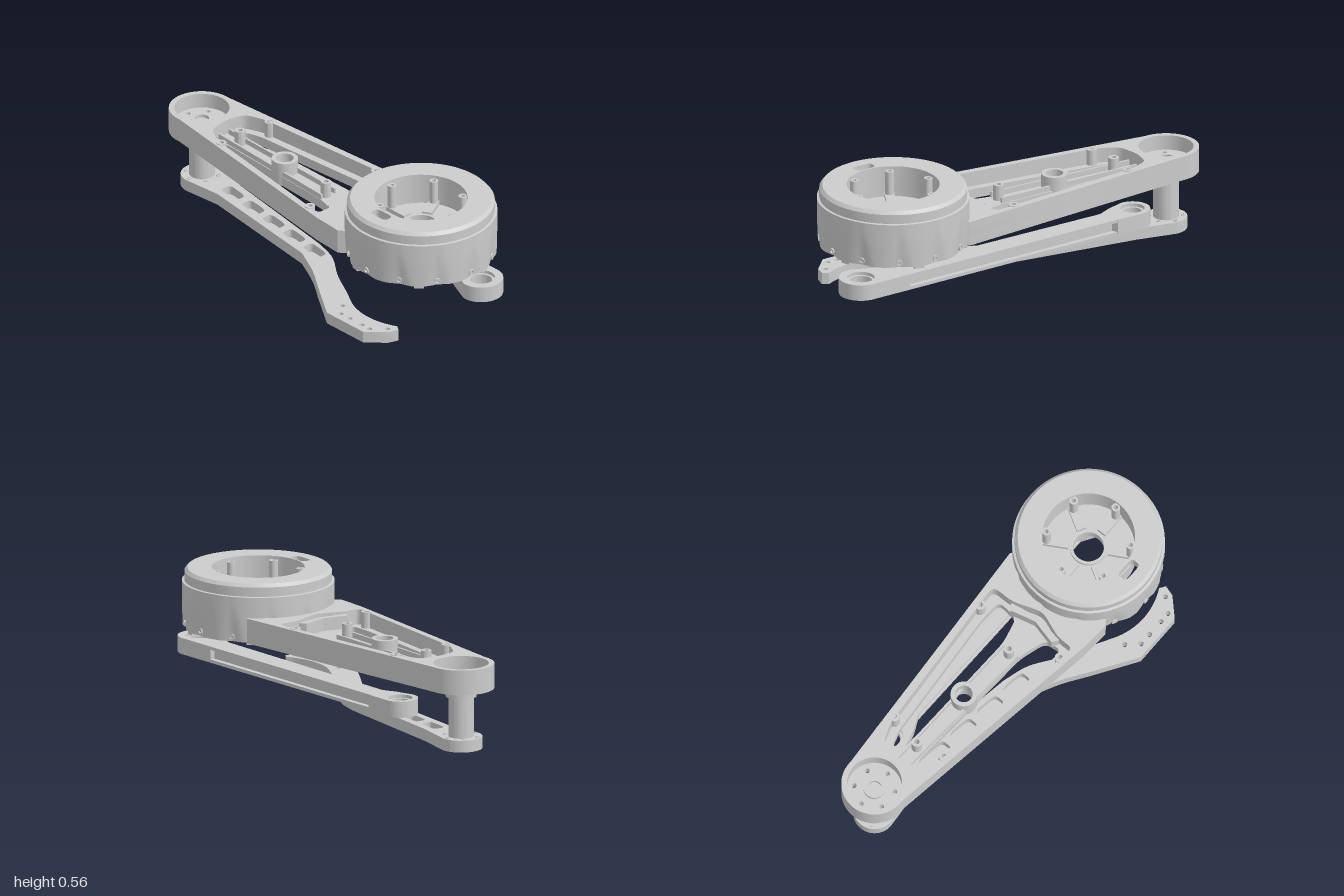
import * as THREE from 'three';
import { toCreasedNormals } from 'three/addons/utils/BufferGeometryUtils.js';

const grey = new THREE.MeshStandardMaterial({ color: 0xcccccc, side: THREE.DoubleSide });
const TAU = Math.PI * 2;
const HUB = [0.045, 0.635], TIP = [0.07, -0.85];

function add(parent, name, geometry, x = 0, y = 0, z = 0) {
  const mesh = new THREE.Mesh(geometry, grey);
  mesh.name = name;
  mesh.position.set(x, y, z);
  parent.add(mesh);
  return mesh;
}

// Plan outlines are lists of [x, z]
const plan = (pts) => pts.map(([x, z]) => new THREE.Vector2(x, -z));
const arc = ([cx, cz], r, from, to, n = 32) => Array.from({ length: n + 1 }, (_, i) => {
  const a = (from + (to - from) * i / n) * Math.PI / 180;
  return [cx + r * Math.cos(a), cz + r * Math.sin(a)];
});
const circle = (c, r, n = 32) => arc(c, r, 0, 360, n).slice(0, n);
const smooth = (pts, n = 16) => new THREE.CatmullRomCurve3(pts.map(([x, z]) => new THREE.Vector3(x, 0, z)))
  .getPoints(n).map((p) => [p.x, p.z]);
// Rounded closed loop through the corners of a window
const rounded = (pts, k = 0.3) => pts.flatMap((p, i) => {
  const q = pts[(i + pts.length - 1) % pts.length], s = pts[(i + 1) % pts.length];
  const toward = (o) => {
    const t = Math.min(k, 0.035 / Math.hypot(o[0] - p[0], o[1] - p[1]));
    return new THREE.Vector2(p[0] + (o[0] - p[0]) * t, p[1] + (o[1] - p[1]) * t);
  };
  return new THREE.QuadraticBezierCurve(toward(q), new THREE.Vector2(...p), toward(s)).getPoints(5).map((v) => [v.x, v.y]);
});

// Flat plate from y0 to y1 with windows
function plate(outline, holes, y0, y1) {
  const shape = new THREE.Shape(plan(outline));
  shape.holes = holes.map((h) => new THREE.Path(plan(h)));
  const g = new THREE.ExtrudeGeometry(shape, { depth: y1 - y0, bevelEnabled: false });
  g.rotateX(-Math.PI / 2).translate(0, y0, 0);
  return toCreasedNormals(g, 0.6);
}

function lathe(pts, n = 72) {
  return toCreasedNormals(new THREE.LatheGeometry(pts.map((p) => new THREE.Vector2(...p)), n), 0.5);
}

// Hollow boss standing from y0 to y1
const tube = (r, bore, y0, y1, n = 24) => lathe([[bore, y0], [r, y0], [r, y1], [bore, y1], [bore, y0]], n);

function motorHousing() {
  const g = new THREE.Group();
  g.name = 'motorHousing';
  // Outer skirt, dented round each of twelve side screws
  const skirt = new THREE.LatheGeometry(
    [[0.322, 0.5], [0.322, 0.29], [0.342, 0.29], [0.343, 0.33], [0.344, 0.37], [0.345, 0.41], [0.345, 0.45], [0.345, 0.5], [0.322, 0.5]]
      .map((p) => new THREE.Vector2(...p)), 144);
  const pos = skirt.attributes.position;
  for (let i = 0; i < pos.count; i++) {
    const x = pos.getX(i), y = pos.getY(i), z = pos.getZ(i), r = Math.hypot(x, z);
    if (r < 0.33) continue;
    const a = Math.atan2(x, z) / (TAU / 12);
    const off = Math.abs(a - Math.round(a)) * 30;
    const fade = THREE.MathUtils.clamp((0.47 - y) / 0.18, 0, 1);
    const k = 1 - 0.013 * fade * Math.max(0, 1 - off / (3 + 7 * fade)) / r;
    pos.setX(i, x * k);
    pos.setZ(i, z * k);
  }
  add(g, 'skirt', toCreasedNormals(skirt, 0.5), HUB[0], 0, HUB[1]);

  // Chamfered cap with a round well and a cable slot
  add(g, 'capRim', lathe([[0.318, 0.5], [0.345, 0.5], [0.334, 0.502], [0.334, 0.545], [0.32, 0.56], [0.318, 0.56]], 96), HUB[0], 0, HUB[1]);
  const slot = rounded([[-0.22, 0.58], [-0.17, 0.58], [-0.17, 0.68], [-0.22, 0.68]]);
  add(g, 'capTop', plate(circle(HUB, 0.32, 96), [circle(HUB, 0.21, 72), slot], 0.5, 0.56));
  add(g, 'wellWall', tube(0.222, 0.21, 0.39, 0.505, 72), HUB[0], 0, HUB[1]);

  // Well floor with central bore, spokes and bosses
  const screwHoles = [];
  for (let i = 0; i < 6; i++) {
    const a = (i + 0.5) * TAU / 6;
    screwHoles.push(circle([HUB[0] + 0.1 * Math.cos(a), HUB[1] + 0.1 * Math.sin(a)], 0.008, 10));
  }
  add(g, 'wellFloor', plate(circle(HUB, 0.215, 72), [circle(HUB, 0.07, 40), ...screwHoles], 0.39, 0.415));
  add(g, 'boreRing', tube(0.084, 0.07, 0.38, 0.43, 40), HUB[0], 0, HUB[1]);
  for (let i = 0; i < 6; i++) {
    const a = i * TAU / 6, s = Math.sin(a), c = Math.cos(a);
    const spoke = add(g, 'wellSpoke', new THREE.BoxGeometry(0.045, 0.02, 0.12), HUB[0] + 0.15 * s, 0.425, HUB[1] + 0.15 * c);
    spoke.rotation.y = a;
    add(g, 'wellBoss', tube(0.02, 0.01, 0.41, 0.545, 16), HUB[0] + 0.193 * s, 0, HUB[1] + 0.193 * c);
  }

  // Side screw sockets and the small feet under the skirt
  for (let i = 0; i < 12; i++) {
    const a = i * TAU / 12;
    if (Math.cos(a) > -0.6) {
      const socket = add(g, 'sideScrewSocket', tube(0.015, 0.008, -0.012, 0.012, 14),
        HUB[0] + 0.328 * Math.sin(a), 0.31, HUB[1] + 0.328 * Math.cos(a));
      socket.rotation.set(Math.PI / 2, 0, -a, 'YXZ');
      socket.rotation.set(Math.PI / 2, a, 0, 'YXZ');
    }
    if (i % 2) {
      const b = a + 0.25 - 0.5;
      const foot = add(g, 'foot', new THREE.BoxGeometry(0.045, 0.02, 0.02), HUB[0] + 0.33 * Math.sin(b), 0.289, HUB[1] + 0.33 * Math.cos(b));
      foot.rotation.y = b;
    }
  }
  return g;
}

function upperArm() {
  const g = new THREE.Group();
  g.name = 'upperArm';
  const outline = [
    ...arc(TIP, 0.15, 176, 364, 40), [0.265, -0.18], [0.305, 0.39],
    ...arc(HUB, 0.338, -42, -143, 32), [-0.25, 0.4], [-0.24, 0.25]];
  // Tall perimeter wall around an open bay, with a round cup at the tip
  const bay = rounded([[-0.035, -0.67], [0.07, -0.69], [0.165, -0.67], [0.2, -0.58], [0.262, 0.22], [0.15, 0.22],
    [0.01, 0.27], [-0.12, 0.22], [-0.205, 0.22], [-0.085, -0.58]]);
  add(g, 'perimeterWall', plate(outline, [bay, circle(TIP, 0.125, 48)], 0.335, 0.405));
  // Lower web with two long windows and the tip floor
  const left = rounded([[-0.04, -0.64], [0.005, -0.62], [-0.03, 0.06], [-0.07, 0.19], [-0.155, 0.2], [-0.15, 0.08], [-0.055, -0.56]]);
  const right = rounded([[0.14, -0.64], [0.09, -0.62], [0.07, 0.06], [0.1, 0.19], [0.21, 0.2], [0.215, 0.08], [0.165, -0.56]]);
  const tipHoles = Array.from({ length: 6 }, (_, i) => {
    const a = (i + 0.5) * TAU / 6;
    return circle([TIP[0] + 0.093 * Math.cos(a), TIP[1] + 0.093 * Math.sin(a)], 0.011, 12);
  });
  add(g, 'lowerWeb', plate(outline, [left, right, circle([0.035, -0.26], 0.04), ...tipHoles], 0.29, 0.335));
  add(g, 'tipRing', tube(0.05, 0.032, 0.33, 0.35, 32), TIP[0], 0, TIP[1]);
  add(g, 'centreRing', tube(0.06, 0.04, 0.29, 0.4, 32), 0.035, 0, -0.26);
  // Thin raised walls along the centre rib
  for (const s of [-1, 1]) {
    add(g, 'ribWall', plate([[0.05 + s * 0.036, -0.68], [0.05 + s * 0.026, -0.68], [0.018 + s * 0.036, 0.05], [0.018 + s * 0.046, 0.05]], [], 0.33, 0.36));
    add(g, 'chevronWall', plate([[0.01, 0.24], [0.01, 0.215], [0.01 + s * 0.12, 0.185], [0.01 + s * 0.14, 0.215]], [], 0.33, 0.395));
  }
  for (const [x, z] of [[-0.088, -0.55], [0.05, -0.575], [0.205, -0.545], [-0.19, 0.15], [0.015, 0.035], [0.25, 0.115]])
    add(g, 'screwBoss', tube(0.024, 0.012, 0.3, 0.408, 20), x, 0, z);
  return g;
}

function middleLink() {
  const g = new THREE.Group();
  g.name = 'middleLink';
  const a = [0.17, 0.9], b = [0.2, -0.575];
  const side = (inset) => [
    [0.275 - inset, -0.5], [0.27 - inset, 0.78], [0.155 + inset, 0.78], [0.175 + inset, -0.42]];
  // Bar with a groove along both sides
  add(g, 'lowerFlange', plate(side(0), [], 0.135, 0.15));
  add(g, 'upperFlange', plate(side(0), [], 0.195, 0.21));
  add(g, 'barWeb', plate(side(0.025), [], 0.145, 0.2));
  add(g, 'frontEye', plate([...arc(a, 0.1, -5, 185, 40), [0.12, 0.77], [0.165, 0.7], [0.27, 0.7]],
    [circle(a, 0.062, 40)], 0.135, 0.21));
  add(g, 'rearEye', plate([...arc(b, 0.08, 175, 360, 40), [0.277, -0.44], [0.182, -0.4], [0.145, -0.48]],
    [circle(b, 0.055, 40)], 0.135, 0.21));
  add(g, 'frontBushing', tube(0.066, 0.05, 0.15, 0.195, 40), a[0], 0, a[1]);
  add(g, 'rearBushing', tube(0.058, 0.042, 0.15, 0.195, 40), b[0], 0, b[1]);
  return g;
}

function lowerLink() {
  const g = new THREE.Group();
  g.name = 'lowerLink';
  const outline = [
    ...arc(TIP, 0.096, 172, 368, 36), [0.12, -0.65],
    ...smooth([[0.015, 0], [-0.025, 0.12], [-0.12, 0.26], [-0.2, 0.41]], 20),
    ...arc(HUB, 0.325, -148, -208, 24), [-0.26, 0.815], [-0.31, 0.8], [-0.39, 0.72], [-0.39, 0.48],
    ...smooth([[-0.26, 0.28], [-0.18, 0.16], [-0.1, 0.0]], 14), [-0.01, -0.66]];
  const holes = [[-0.35, 0.53], [-0.35, 0.59], [-0.35, 0.67], [-0.35, 0.72], [-0.295, 0.48], [-0.29, 0.775]]
    .map((c) => circle(c, 0.012, 14));
  // Row of shallow pockets along the straight part
  const cx = (z) => 0.06 - (z + 0.7) * 0.14;
  const pockets = [-0.68, -0.52, -0.36, -0.2, -0.04].map((z) => rounded([
    [cx(z) - 0.03, z], [cx(z) + 0.03, z], [cx(z + 0.12) + 0.03, z + 0.12], [cx(z + 0.12) - 0.03, z + 0.12]]));
  add(g, 'linkBody', plate(outline, [...holes, ...pockets], 0.024, 0.065));
  add(g, 'linkFloor', plate(outline, holes, 0.01, 0.024));
  return g;
}

function pivotPost() {
  const g = new THREE.Group();
  g.name = 'pivotPost';
  add(g, 'post', lathe([[0, 0.01], [0.025, 0.01], [0.025, 0], [0.046, 0], [0.046, 0.012], [0.058, 0.012],
    [0.058, 0.25], [0.07, 0.25], [0.07, 0.292], [0, 0.292]], 48), TIP[0], 0, TIP[1]);
  for (let i = 0; i < 6; i++) {
    const a = i * TAU / 6;
    add(g, 'linkScrew', tube(0.01, 0.005, 0.06, 0.069, 12), TIP[0] + 0.077 * Math.cos(a), 0, TIP[1] + 0.077 * Math.sin(a));
  }
  return g;
}

export function createModel() {
  const model = new THREE.Group();
  model.name = 'roboticLeg';
  model.add(motorHousing(), upperArm(), middleLink(), lowerLink(), pivotPost());
  return model;
}
